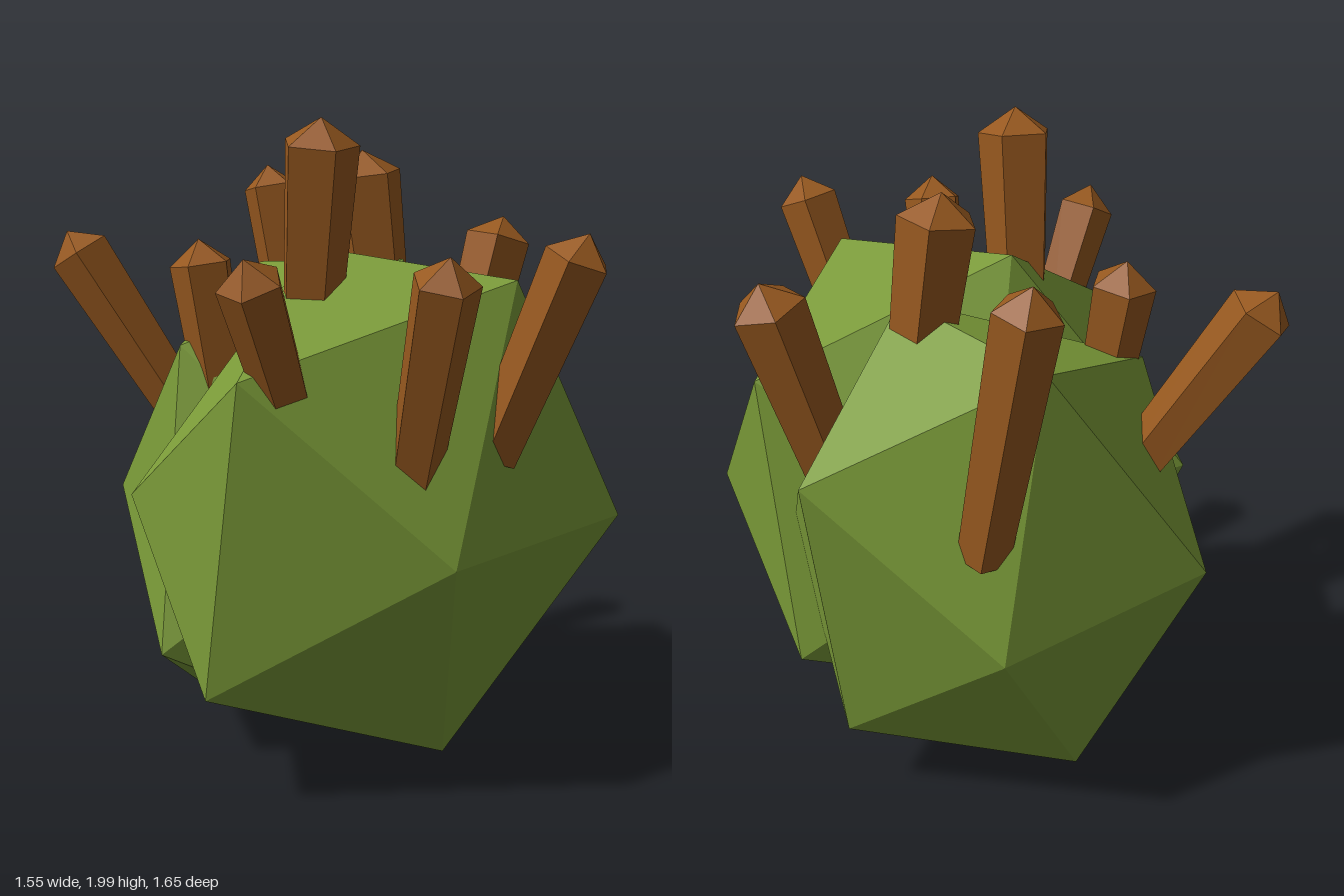
import * as THREE from 'three';
import { ConvexGeometry } from 'three/addons/geometries/ConvexGeometry.js';

const green = new THREE.MeshStandardMaterial({ color: 0x7a9a38 });
green.name = 'leaf green';
const brown = new THREE.MeshStandardMaterial({ color: 0x96581f, flatShading: true });
brown.name = 'bark brown';

// Squashed icosahedron: six half-diagonals mirrored through the centre
function lobe(name, center, halves) {
  const c = new THREE.Vector3(...center);
  const points = [];
  for (const h of halves) {
    const v = new THREE.Vector3(...h);
    points.push(c.clone().add(v), c.clone().sub(v));
  }
  const mesh = new THREE.Mesh(new ConvexGeometry(points), green);
  mesh.name = name;
  return mesh;
}

// Five-sided peg with a shallow pointed cap, running from inside the body to its tip
function peg(name, base, tip, radius, roll) {
  const top = new THREE.Vector3(...tip);
  const dir = top.clone().sub(new THREE.Vector3(...base));
  const length = dir.length() + 0.08;
  dir.normalize();
  const profile = [
    new THREE.Vector2(0, -length),
    new THREE.Vector2(radius * 0.8, -length),
    new THREE.Vector2(radius, -0.075),
    new THREE.Vector2(0, 0),
  ];
  const geometry = new THREE.LatheGeometry(profile, 5).toNonIndexed();
  geometry.computeVertexNormals();
  geometry.rotateY(roll);
  const mesh = new THREE.Mesh(geometry, brown);
  mesh.name = name;
  mesh.position.copy(top);
  mesh.quaternion.setFromUnitVectors(new THREE.Vector3(0, 1, 0), dir);
  return mesh;
}

export function createModel() {
  const model = new THREE.Group();
  model.name = 'spikyBush';

  // Two overlapping faceted lobes
  model.add(lobe('frontLobe', [0.07, 0.835, 0.155], [
    [-0.16, 0.785, -0.14], [-0.01, -0.065, 0.525], [0.715, -0.05, 0.24],
    [0.63, 0.475, -0.175], [0.56, -0.465, -0.285], [0.28, 0.71, 0.325],
  ]));
  model.add(lobe('backLobe', [0.03, 0.785, -0.255], [
    [-0.24, -0.775, -0.155], [-0.05, 0.735, -0.355], [0.49, -0.535, -0.105],
    [0.61, 0.405, -0.225], [0.10, -0.075, -0.515], [-0.57, 0.01, -0.315],
  ]));

  // Pegs: name, base, tip, radius, roll
  const pegs = [
    ['backPeg', [0.15, 1.08, -0.65], [0.065, 1.84, -0.76], 0.097, 0.3],
    ['backRightPeg', [-0.42, 1.14, -0.38], [-0.71, 1.65, -0.51], 0.1, 0.9],
    ['middleRightPeg', [-0.34, 1.2, -0.13], [-0.39, 1.64, -0.165], 0.1, 0.5],
    ['middleTopPeg', [0.23, 1.4, -0.18], [0.165, 1.9, -0.185], 0.118, 0.2],
    ['middleLeftPeg', [0.51, 1.1, -0.15], [0.68, 1.68, -0.18], 0.11, 0.7],
    ['tallPeg', [-0.155, 1.48, 0.16], [-0.16, 2.0, 0.25], 0.115, 0.0],
    ['frontRightPeg', [-0.34, 1.24, 0.41], [-0.5, 1.64, 0.53], 0.095, 0.6],
    ['frontPeg', [0, 1.08, 0.55], [-0.005, 1.645, 0.74], 0.098, 0.0],
    ['frontLeftPeg', [0.29, 1.12, 0.53], [0.44, 1.69, 0.705], 0.098, 0.4],
  ];
  for (const p of pegs) model.add(peg(...p));

  return model;
}
